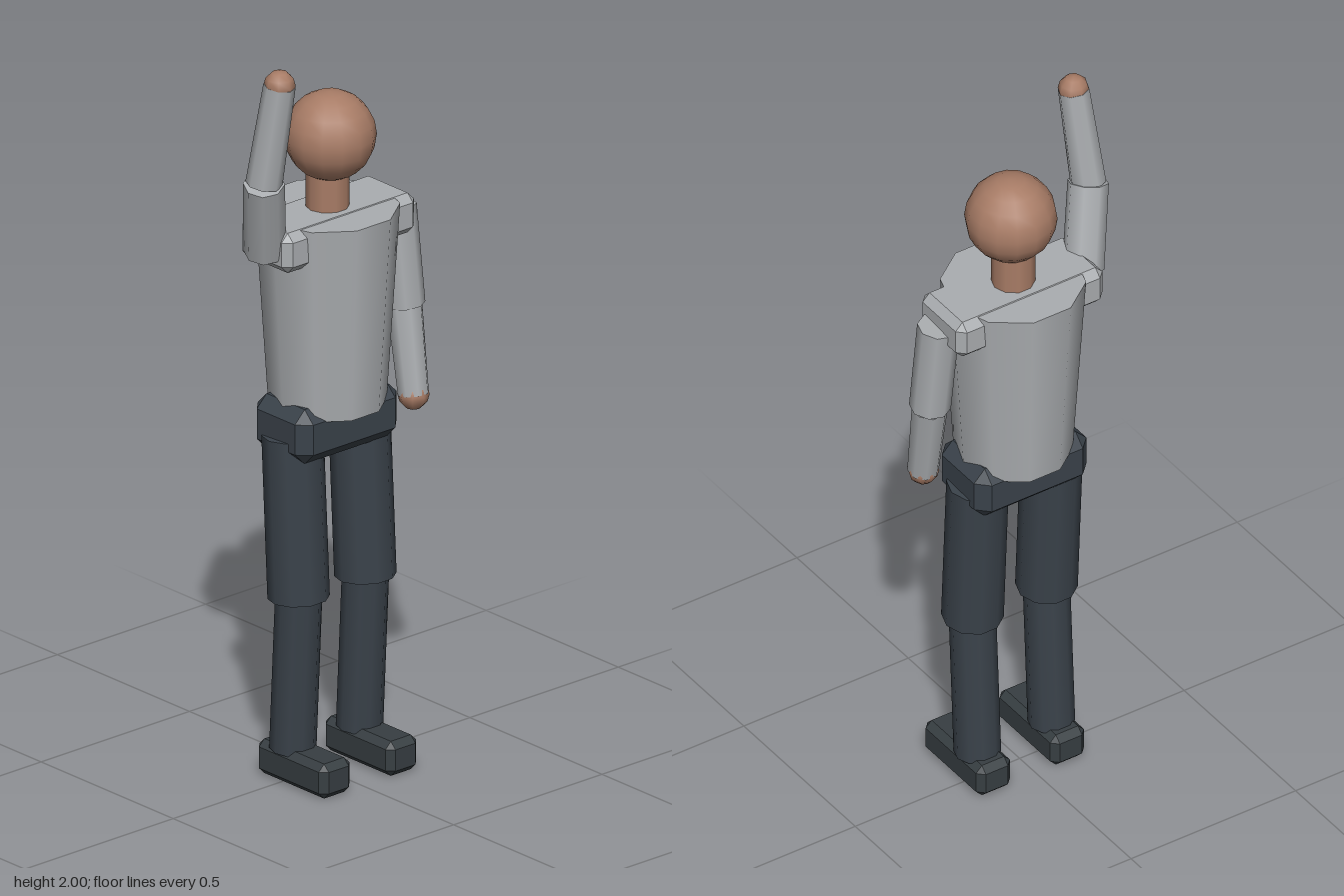
import * as THREE from 'three';
import { ConvexGeometry } from 'three/addons/geometries/ConvexGeometry.js';

const mat = (name, color) => {
  const m = new THREE.MeshStandardMaterial({ color });
  m.name = name;
  return m;
};

export function createModel() {
  const skin = mat('skin', 0xa87c66);
  const shirt = mat('shirt', 0xaaadb0);
  const trousers = mat('trousers', 0x3a424a);
  const shoes = mat('shoes', 0x373e42);

  const model = new THREE.Group();
  model.name = 'figure';

  const add = (name, geometry, material, x = 0, y = 0, z = 0) => {
    const mesh = new THREE.Mesh(geometry, material);
    mesh.name = name;
    mesh.position.set(x, y, z);
    model.add(mesh);
    return mesh;
  };

  // Box with every edge cut off by c
  const chamferBox = (w, h, d, c) => {
    const pts = [];
    for (const sx of [-1, 1]) for (const sy of [-1, 1]) for (const sz of [-1, 1]) {
      const x = sx * w / 2, y = sy * h / 2, z = sz * d / 2;
      pts.push(
        new THREE.Vector3(x, y - sy * c, z - sz * c),
        new THREE.Vector3(x - sx * c, y, z - sz * c),
        new THREE.Vector3(x - sx * c, y - sy * c, z));
    }
    return new ConvexGeometry(pts);
  };

  // Tapered cylinder running from point a to point b
  const limb = (name, material, a, b, ra, rb, sides) => {
    const start = new THREE.Vector3(...a), end = new THREE.Vector3(...b);
    const dir = end.clone().sub(start);
    const mesh = add(name, new THREE.CylinderGeometry(rb, ra, dir.length(), sides), material);
    mesh.position.copy(start).add(end).multiplyScalar(0.5);
    mesh.quaternion.setFromUnitVectors(new THREE.Vector3(0, 1, 0), dir.normalize());
  };

  // Head, neck and trunk (the figure looks along +x)
  const midZ = -0.02;
  add('head', new THREE.SphereGeometry(0.118, 14, 10), skin, 0.01, 1.727, midZ);
  add('neck', new THREE.CylinderGeometry(0.056, 0.056, 0.13, 10), skin, 0, 1.58, midZ);
  add('torso', new THREE.CylinderGeometry(0.184, 0.15, 0.53, 10), shirt, 0, 1.265, midZ);
  add('shoulders', chamferBox(0.19, 0.108, 0.446, 0.021), shirt, 0, 1.478, -0.022);
  add('hips', chamferBox(0.21, 0.148, 0.342, 0.033), trousers, 0, 0.961, -0.017);

  // Legs and feet
  for (const [side, z] of [['right', 0.095], ['left', -0.13]]) {
    limb(side + 'Thigh', trousers, [0.02, 0.502, z], [-0.003, 0.94, z], 0.079, 0.079, 10);
    limb(side + 'Shin', trousers, [-0.002, 0.085, z], [0.02, 0.503, z], 0.06, 0.06, 10);
    add(side + 'Foot', chamferBox(0.262, 0.094, 0.103, 0.018), shoes, 0.041, 0.05, z);
  }

  // Arms: shoulder, elbow, hand
  const arms = {
    right: [[0.01, 1.47, 0.2], [0.066, 1.685, 0.253], [0.106, 1.96, 0.236]],
    left: [[0.01, 1.475, -0.24], [0.032, 1.21, -0.251], [0.076, 0.98, -0.242]],
  };
  for (const [side, [shoulder, elbow, hand]] of Object.entries(arms)) {
    limb(side + 'UpperArm', shirt, shoulder, elbow, 0.054, 0.053, 8);
    limb(side + 'Forearm', shirt, elbow, hand, 0.047, 0.041, 8);
    add(side + 'Hand', new THREE.SphereGeometry(0.041, 8, 6), skin, ...hand);
  }

  return model;
}
